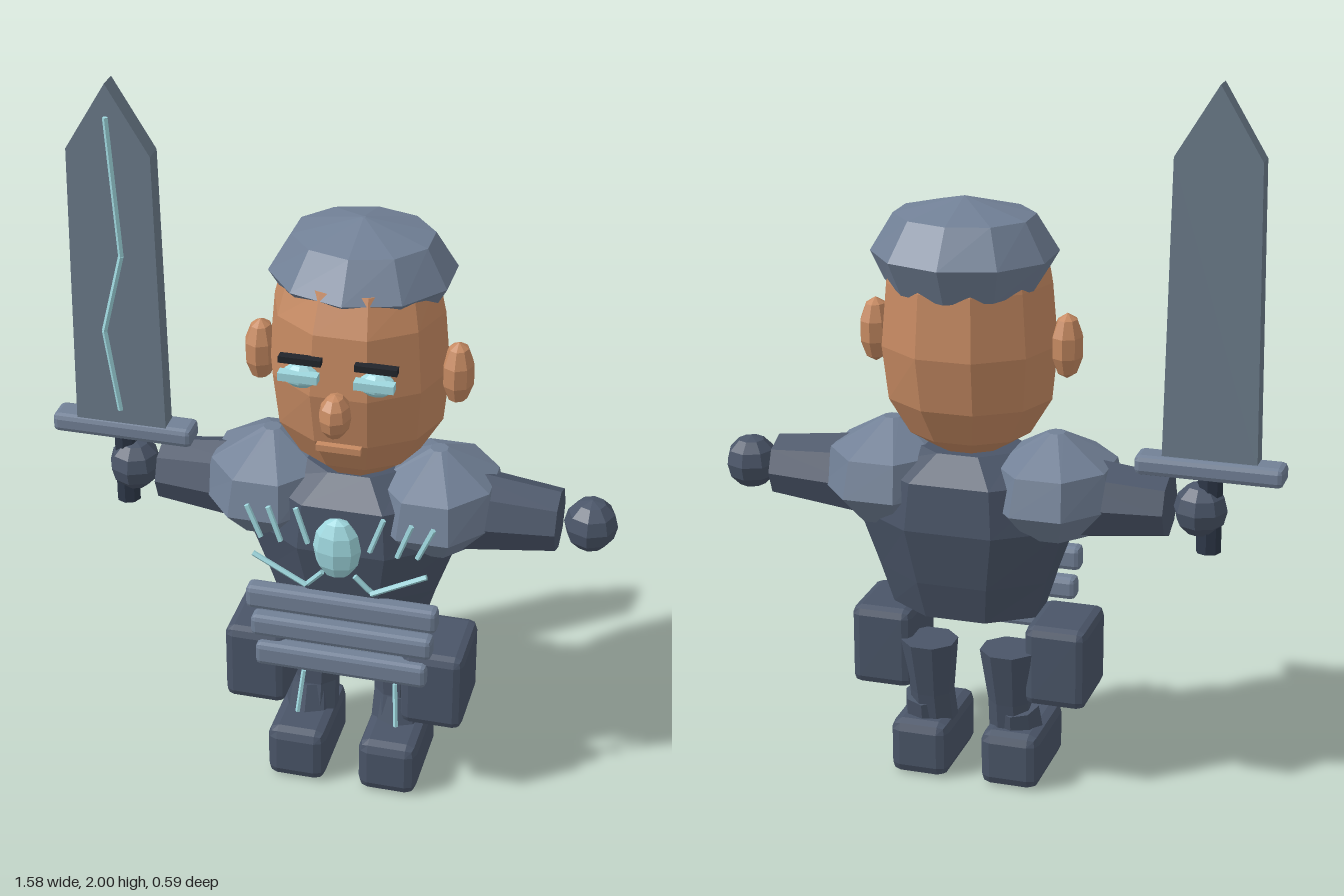
import * as THREE from 'three';
import { RoundedBoxGeometry } from 'three/addons/geometries/RoundedBoxGeometry.js';

const CX = 0.074; // centre line of the body
const CZ = -0.02;

export function createModel() {
  const root = new THREE.Group();
  root.name = 'swordFighter';

  const material = (name, color) => {
    const m = new THREE.MeshStandardMaterial({ color, flatShading: true });
    m.name = name;
    return m;
  };
  const armour = material('dark armour', 0x4a5568);
  const steel = material('steel', 0x718096);
  const bladeSteel = material('blade steel', 0x6b7b8a);
  const skin = material('skin', 0xc68a62);
  const glow = material('pale teal', 0x9fd8df);
  const dark = material('brow black', 0x22252b);
  const grip = material('grip', 0x2d3748);

  const add = (name, geometry, mat, x = 0, y = 0, z = 0, parent = root) => {
    const mesh = new THREE.Mesh(geometry, mat);
    mesh.name = name;
    mesh.position.set(x, y, z);
    parent.add(mesh);
    return mesh;
  };

  // Closed loft through elliptical rings: [y, rx, rz, zOffset, backDrop]
  const loft = (rings, sides, halfTurn) => {
    const pos = [];
    const index = [];
    for (const [y, rx, rz, cz = 0, drop = 0] of rings) {
      for (let i = 0; i < sides; i++) {
        const a = ((i + (halfTurn ? 0.5 : 0)) / sides) * Math.PI * 2;
        pos.push(Math.sin(a) * rx, y - drop * (1 - Math.cos(a)) / 2, Math.cos(a) * rz + cz);
      }
    }
    for (let r = 0; r < rings.length - 1; r++) {
      for (let i = 0; i < sides; i++) {
        const a = r * sides + i, b = r * sides + (i + 1) % sides;
        index.push(a, b, b + sides, a, b + sides, a + sides);
      }
    }
    const top = (rings.length - 1) * sides;
    for (let i = 1; i < sides - 1; i++) {
      index.push(0, i + 1, i, top, top + i, top + i + 1);
    }
    const g = new THREE.BufferGeometry();
    g.setAttribute('position', new THREE.Float32BufferAttribute(pos, 3));
    g.setIndex(index);
    g.computeVertexNormals();
    return g;
  };

  const ellipsoid = (rx, ry, rz, w = 8, h = 6) => new THREE.SphereGeometry(1, w, h).scale(rx, ry, rz);
  const box = (w, h, d, r) => new RoundedBoxGeometry(w, h, d, 1, r);

  // Thin rod between two points
  const rod = (name, from, to, r, mat, parent = root) => {
    const a = new THREE.Vector3(...from), b = new THREE.Vector3(...to);
    const mid = a.clone().add(b).multiplyScalar(0.5);
    const mesh = add(name, new THREE.CylinderGeometry(r, r, a.distanceTo(b), 5), mat, mid.x, mid.y, mid.z, parent);
    mesh.quaternion.setFromUnitVectors(new THREE.Vector3(0, 1, 0), b.sub(a).normalize());
    return mesh;
  };

  // Torso and neck
  add('torso', loft([
    [0.52, 0.22, 0.15], [0.63, 0.255, 0.185], [0.79, 0.315, 0.22],
    [0.92, 0.29, 0.205], [0.985, 0.15, 0.12],
  ], 8, true), armour, CX, 0, CZ);
  add('neck', new THREE.CylinderGeometry(0.08, 0.085, 0.1, 8), skin, CX, 0.98, CZ);

  // Head, features and cap
  add('head', loft([
    [0.985, 0.1, 0.1, 0.01], [1.03, 0.17, 0.155], [1.13, 0.23, 0.21],
    [1.28, 0.245, 0.24], [1.45, 0.23, 0.225], [1.55, 0.205, 0.19, -0.01],
  ], 10, true), skin, CX, 0, -0.02);
  add('cap', loft([
    [1.49, 0.215, 0.185, 0, 0.06], [1.53, 0.25, 0.235],
    [1.63, 0.19, 0.165], [1.675, 0.005, 0.005],
  ], 10, false), steel, CX, 0, -0.057);
  add('nose', ellipsoid(0.043, 0.062, 0.055), skin, CX, 1.25, 0.24);
  add('mouth', new THREE.BoxGeometry(0.12, 0.018, 0.02), skin, CX, 1.13, 0.2);

  for (const s of [-1, 1]) {
    const side = s > 0 ? 'left' : 'right';
    add(side + 'Ear', ellipsoid(0.045, 0.09, 0.055, 8, 5), skin, CX + s * 0.268, 1.28, -0.012);
    add(side + 'Eye', ellipsoid(0.05, 0.035, 0.03), glow, CX + s * 0.1, 1.335, 0.2);
    add(side + 'EyeLid', new THREE.BoxGeometry(0.105, 0.022, 0.03), glow, CX + s * 0.1, 1.345, 0.228);
    add(side + 'Eyebrow', new THREE.BoxGeometry(0.112, 0.018, 0.025), dark, CX + s * 0.1, 1.383, 0.208);
  }

  // Shoulders, arms and hands
  for (const s of [-1, 1]) {
    const side = s > 0 ? 'left' : 'right';
    add(side + 'ShoulderPad', loft([
      [0.77, 0.11, 0.13], [0.86, 0.185, 0.222], [0.96, 0.165, 0.19], [1.04, 0.025, 0.025],
    ], 8, true), steel, CX - 0.01 + s * 0.232, 0, CZ);
    const arm = add(side + 'Arm', new THREE.CylinderGeometry(0.087, 0.125, 0.32, 8), armour, CX + s * 0.396, 0.865, CZ);
    arm.rotation.z = -s * Math.PI / 2;
    add(side + 'Hand', ellipsoid(0.073, 0.075, 0.075), armour, CX + s * 0.64, 0.865, CZ);
  }

  // Glowing chest stone and engraved lines
  add('chestStone', ellipsoid(0.066, 0.092, 0.045), glow, CX + 0.002, 0.838, 0.225);
  const rods = [
    [0.255, 0.915, 0.215, 0.825], [0.196, 0.918, 0.16, 0.82], [0.12, 0.925, 0.085, 0.825],
    [0.24, 0.765, 0.09, 0.69], [0.09, 0.69, 0.045, 0.74],
  ];
  for (const s of [-1, 1]) {
    for (const [x0, y0, x1, y1] of rods) {
      rod('chestLine', [CX + s * x0, y0, 0.195], [CX + s * x1, y1, 0.202], 0.008, glow);
    }
    rod('legLine', [CX + s * 0.132, 0.31, 0.075], [CX + s * 0.143, 0.185, 0.105], 0.007, glow);
  }

  // Waist plates
  [[0.535, 0.61, 0.07], [0.51, 0.518, 0.065], [0.485, 0.425, 0.07]].forEach(([w, y, h]) => {
    add('waistPlate', box(w, h, 0.055, 0.015), steel, CX, y, 0.163);
  });

  // Legs, hip guards and boots
  for (const s of [-1, 1]) {
    const side = s > 0 ? 'left' : 'right';
    add(side + 'HipGuard', box(0.175, 0.235, 0.23, 0.025), armour, CX + s * 0.252, 0.362, 0.05);
    add(side + 'Leg', loft([
      [0.14, 0.066, 0.066, 0.005], [0.24, 0.062, 0.062, -0.018], [0.4, 0.08, 0.08, -0.038],
    ], 8, true), armour, CX + s * 0.115, 0, 0);
    const cuff = add(side + 'BootCuff', new THREE.CylinderGeometry(0.065, 0.075, 0.1, 8), armour, CX + s * 0.13, 0.175, 0);
    cuff.rotation.x = -0.25;
    add(side + 'Boot', box(0.168, 0.163, 0.285, 0.03), armour, CX + s * 0.132, 0.082, 0.038);
  }

  // Sword held in the right hand
  const sword = new THREE.Group();
  sword.name = 'sword';
  sword.position.set(-0.59, 0, CZ);
  root.add(sword);
  add('grip', new THREE.CylinderGeometry(0.034, 0.034, 0.23, 8), grip, 0, 0.862, 0, sword);
  add('guard', box(0.4, 0.055, 0.085, 0.015), steel, 0, 0.982, 0, sword);
  const outline = new THREE.Shape([[-0.128, 1], [0.128, 1], [0.115, 1.81], [0, 2], [-0.115, 1.81]]
    .map(([x, y]) => new THREE.Vector2(x, y)));
  add('blade', new THREE.ExtrudeGeometry(outline, { depth: 0.056, bevelEnabled: false }), bladeSteel, 0, 0, -0.022, sword);
  const crack = [[0, 1.91], [0.025, 1.52], [-0.032, 1.29], [0.002, 1.05]];
  for (let i = 0; i < crack.length - 1; i++) {
    rod('bladeCrack', [...crack[i], 0.038], [...crack[i + 1], 0.038], 0.008, glow, sword);
  }

  return root;
}
